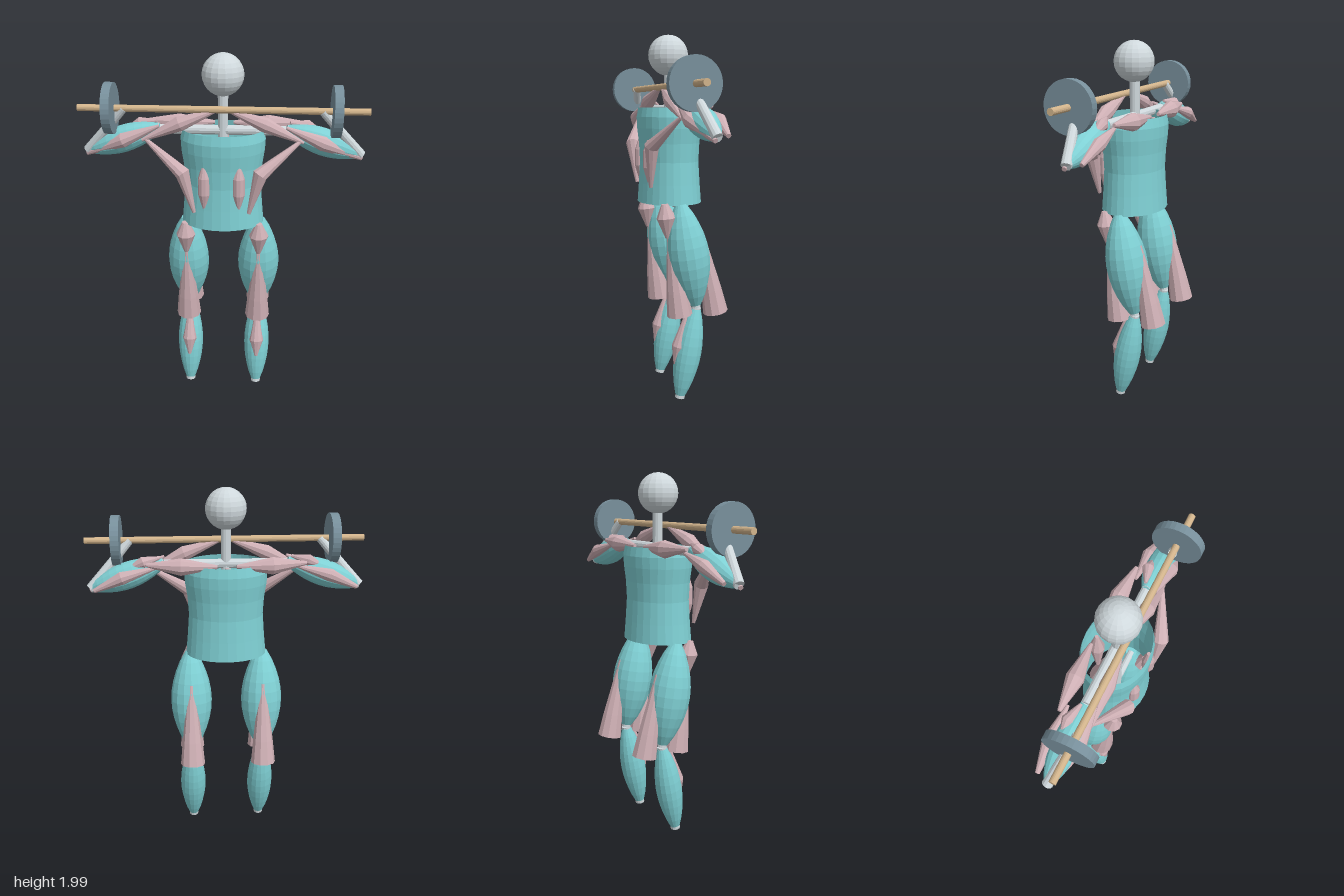
import * as THREE from 'three';

const mat = (name, color) => {
  const m = new THREE.MeshStandardMaterial({ color });
  m.name = name;
  return m;
};

// Faceted normals baked into the geometry
const facet = (g) => {
  const f = g.index ? g.toNonIndexed() : g;
  f.computeVertexNormals();
  return f;
};

// Closed tube through points [x, y, z, radius], with its rings square to the path
function limb(rows, sides) {
  const pts = rows.map((r) => new THREE.Vector3(r[0], r[1], r[2]));
  const n = pts.length, pos = [], idx = [];
  pts.forEach((p, i) => {
    const t = pts[Math.min(i + 1, n - 1)].clone().sub(pts[Math.max(i - 1, 0)]).normalize();
    const u = new THREE.Vector3(0, 0, 1).cross(t).normalize();
    const v = t.clone().cross(u);
    for (let j = 0; j < sides; j++) {
      const a = (j / sides) * Math.PI * 2;
      const q = p.clone().addScaledVector(u, Math.cos(a) * rows[i][3]).addScaledVector(v, Math.sin(a) * rows[i][3]);
      pos.push(q.x, q.y, q.z);
    }
  });
  const first = n * sides, last = first + 1;
  pos.push(...pts[0].toArray(), ...pts[n - 1].toArray());
  for (let j = 0; j < sides; j++) {
    const k = (j + 1) % sides, e = (n - 1) * sides;
    for (let i = 0; i < n - 1; i++) {
      const a = i * sides + j, b = i * sides + k;
      idx.push(a, b, a + sides, b, b + sides, a + sides);
    }
    idx.push(first, k, j, last, e + j, e + k);
  }
  const g = new THREE.BufferGeometry();
  g.setAttribute('position', new THREE.Float32BufferAttribute(pos, 3));
  g.setIndex(idx);
  return facet(g);
}

// Rounded spindle between two points
function spindle(a, b, rEnd, rMid) {
  const rows = [];
  for (let i = 0; i <= 10; i++) {
    const t = i / 10;
    const r = rEnd + (rMid - rEnd) * Math.pow(Math.sin(Math.PI * t), 0.85);
    rows.push([0, 1, 2].map((k) => a[k] + (b[k] - a[k]) * t).concat(r));
  }
  return limb(rows, 16);
}

export function createModel() {
  const root = new THREE.Group();
  root.name = 'weightlifter';
  const skin = mat('teal body', 0x7fd0d4);
  skin.side = THREE.DoubleSide;
  const muscle = mat('pink muscle', 0xcfb0b5);
  const bone = mat('pale bone', 0xcfd8dc);
  const steel = mat('slate plate', 0x78909c);
  const wood = mat('tan bar', 0xd2b48c);

  const add = (name, geo, material, x = 0, y = 0, z = 0) => {
    const m = new THREE.Mesh(geo, material);
    m.name = name;
    m.position.set(x, y, z);
    root.add(m);
    return m;
  };

  // Head and central bones
  add('head', facet(new THREE.SphereGeometry(0.109, 18, 14)), bone, 0, 1.89, 0.043);
  add('spine', limb([[0, 1.09, 0.04, 0.027], [0, 1.81, 0.04, 0.027]], 12), bone);
  add('shoulderBar', limb([[-0.33, 1.6, 0.037, 0.026], [0.33, 1.6, 0.037, 0.026]], 12), bone);
  add('pelvisBar', limb([[-0.2, 1.09, 0.035, 0.02], [0.2, 1.09, 0.035, 0.02]], 12), bone);

  // Open torso shell, flattened front to back
  const profile = [[0.223, 1.095], [0.213, 1.2], [0.204, 1.32], [0.21, 1.42], [0.222, 1.5], [0.225, 1.56], [0.213, 1.61]];
  const shell = new THREE.LatheGeometry(profile.map((p) => new THREE.Vector2(...p)), 28);
  shell.scale(1, 1, 0.775);
  add('torso', facet(shell), skin, 0, 0, 0.04);
  add('spineMuscle', limb([[0, 1.6, -0.07, 0.01], [0, 1.48, -0.07, 0.04], [0, 1.25, -0.07, 0.01]], 8), muscle);

  // Barbell
  const disc = (r, w, n) => facet(new THREE.CylinderGeometry(r, r, w, n).rotateZ(Math.PI / 2));
  add('bar', disc(0.018, 1.5, 16), wood, 0, 1.72, 0.09);

  // Muscles of one side as [x, y, z, radius] rows
  const muscles = {
    trapezius: [[0.02, 1.72, 0.085, 0.008], [0.22, 1.645, 0.095, 0.04], [0.42, 1.555, 0.1, 0.008]],
    biceps: [[0.33, 1.63, 0.09, 0.008], [0.52, 1.55, 0.09, 0.04], [0.73, 1.46, 0.04, 0.012]],
    triceps: [[0.37, 1.6, -0.035, 0.008], [0.55, 1.55, -0.045, 0.035], [0.7, 1.48, -0.035, 0.012]],
    deltoid: [[0.35, 1.64, 0.025, 0.008], [0.44, 1.62, 0.0, 0.032], [0.51, 1.59, 0.0, 0.01]],
    upperBackMuscle: [[0.05, 1.61, -0.075, 0.01], [0.24, 1.61, -0.065, 0.047], [0.42, 1.62, -0.055, 0.01]],
    chestMuscle: [[0.4, 1.56, 0.1, 0.01], [0.2, 1.41, 0.195, 0.04], [0.145, 1.19, 0.185, 0.01]],
    abdominal: [[0.09, 1.45, 0.175, 0.01], [0.09, 1.38, 0.178, 0.032], [0.09, 1.29, 0.178, 0.033], [0.09, 1.21, 0.178, 0.01]],
    hipFlexor: [[0.2, 1.105, 0.125, 0.018], [0.2, 1.03, 0.115, 0.053], [0.2, 0.92, 0.108, 0.012]],
    quadriceps: [[0.2, 0.96, 0.095, 0.016], [0.2, 0.8, 0.08, 0.033], [0.2, 0.62, 0.057, 0.057], [0.2, 0.49, 0.04, 0.07]],
    hamstring: [[0.2, 0.94, -0.08, 0.015], [0.2, 0.8, -0.105, 0.035], [0.2, 0.62, -0.143, 0.056], [0.2, 0.49, -0.168, 0.069]],
    shinMuscle: [[0.2, 0.49, 0.0, 0.01], [0.2, 0.31, 0.043, 0.042], [0.2, 0.21, 0.066, 0.01]],
  };

  for (const [side, s] of [['left', 1], ['right', -1]]) {
    const P = (x, y, z) => [x * s, y, z];
    const shoulder = P(0.33, 1.61, 0.037), elbow = P(0.725, 1.475, 0.03), hand = P(0.51, 1.72, 0.09);
    const hip = P(0.2, 1.09, 0.035), knee = P(0.2, 0.525, -0.055), ankle = P(0.2, 0.012, 0.04);
    const rod = (a, b, r) => limb([[...a, r], [...b, r]], 12);

    add(side + 'Plate', disc(0.132, 0.045, 32), steel, 0.58 * s, 1.72, 0.09);

    // Arm
    add(side + 'UpperArmBone', rod(shoulder, elbow, 0.024), bone);
    add(side + 'Forearm', limb([[...elbow, 0.028], [...hand, 0.022]], 12), bone);
    add(side + 'UpperArm', spindle(shoulder, P(0.72, 1.478, 0.03), 0.022, 0.073), skin);

    // Leg
    add(side + 'ThighBone', rod(hip, knee, 0.025), bone);
    add(side + 'ShinBone', rod(knee, ankle, 0.027), bone);
    add(side + 'Thigh', spindle(P(0.2, 1.1, 0.036), P(0.2, 0.54, -0.052), 0.03, 0.116), skin);
    add(side + 'Calf', spindle(P(0.2, 0.515, -0.053), P(0.2, 0.03, 0.037), 0.028, 0.074), skin);

    for (const [name, rows] of Object.entries(muscles)) {
      add(side + name[0].toUpperCase() + name.slice(1), limb(rows.map(([x, y, z, r]) => [x * s, y, z, r]), 10), muscle);
    }
  }
  return root;
}
